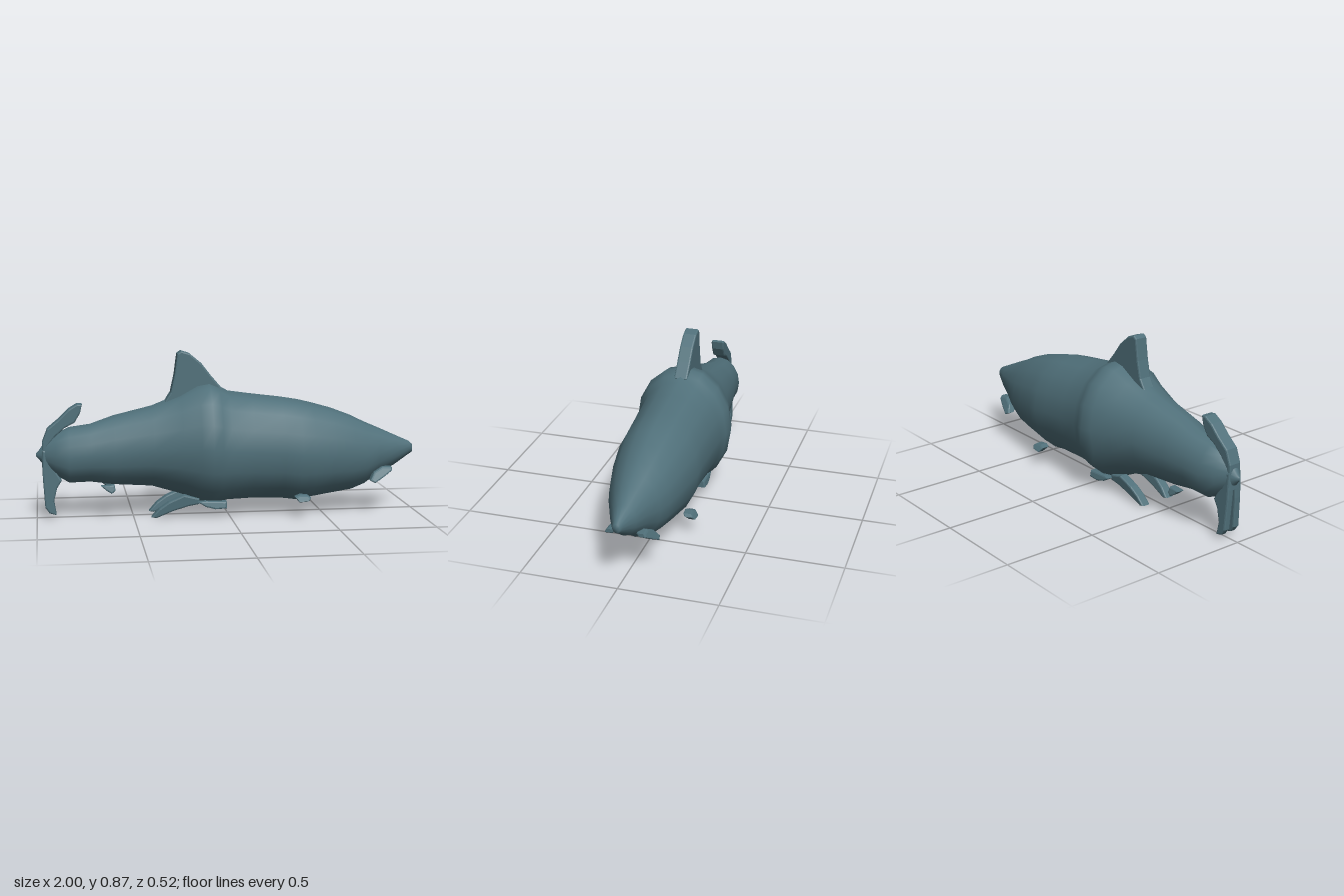
import * as THREE from 'three';

const slate = new THREE.MeshStandardMaterial({ color: 0x50707a });
slate.name = 'slateSkin';

// Body stations from tail to nose: x, top, bottom, half width
const STATIONS = [
  [-1.0, 0.34, 0.325, 0.004], [-0.985, 0.355, 0.31, 0.02], [-0.955, 0.4, 0.27, 0.04],
  [-0.9, 0.44, 0.225, 0.08], [-0.83, 0.475, 0.182, 0.115], [-0.72, 0.49, 0.185, 0.122],
  [-0.6, 0.532, 0.168, 0.142], [-0.4, 0.58, 0.155, 0.17], [-0.25, 0.64, 0.11, 0.212],
  [-0.16, 0.69, 0.066, 0.246], [-0.1, 0.7, 0.05, 0.26], [-0.05, 0.68, 0.055, 0.247],
  [0, 0.652, 0.07, 0.232], [0.12, 0.635, 0.075, 0.224], [0.28, 0.615, 0.072, 0.215],
  [0.37, 0.6, 0.06, 0.215], [0.44, 0.583, 0.072, 0.203], [0.55, 0.552, 0.09, 0.185],
  [0.66, 0.51, 0.107, 0.157], [0.73, 0.475, 0.135, 0.133], [0.8, 0.445, 0.185, 0.105],
  [0.9, 0.4, 0.235, 0.065], [0.985, 0.362, 0.293, 0.027], [1, 0.348, 0.302, 0.018], [1, 0.325, 0.325, 0],
];

// Smooth loft of 16-sided oval rings along x
function bodyGeometry() {
  const sides = 16, pos = [], idx = [];
  for (const [x, top, bottom, w] of STATIONS) {
    for (let i = 0; i < sides; i++) {
      const a = (i / sides) * Math.PI * 2;
      pos.push(x, (top + bottom) / 2 + Math.cos(a) * (top - bottom) / 2, Math.sin(a) * w);
    }
  }
  for (let r = 0; r < STATIONS.length - 1; r++) {
    for (let i = 0; i < sides; i++) {
      const j = (i + 1) % sides;
      const a = r * sides + i, b = r * sides + j, c = a + sides, d = b + sides;
      idx.push(a, b, c, b, d, c);
    }
  }
  const g = new THREE.BufferGeometry();
  g.setAttribute('position', new THREE.Float32BufferAttribute(pos, 3));
  g.setIndex(idx);
  g.computeVertexNormals();
  return g;
}

// Fin: side outline in x and y, thickened from z0 to z1, leaning outward below its top
function finGeometry(outline, z0, z1, lean = 0) {
  const bevel = Math.min(0.008, (z1 - z0) / 4);
  const shape = new THREE.Shape(outline.map(([x, y]) => new THREE.Vector2(x, y)));
  const g = new THREE.ExtrudeGeometry(shape, {
    depth: z1 - z0 - 2 * bevel, bevelEnabled: true, bevelThickness: bevel,
    bevelSize: bevel, bevelOffset: -bevel, bevelSegments: 2,
  });
  g.translate(0, 0, z0 + bevel);
  const top = Math.max(...outline.map((p) => p[1]));
  const p = g.attributes.position;
  for (let i = 0; i < p.count; i++) p.setZ(i, p.getZ(i) + lean * (top - p.getY(i)));
  g.computeVertexNormals();
  return g;
}

export function createModel() {
  const model = new THREE.Group();
  const add = (name, geometry) => {
    const mesh = new THREE.Mesh(geometry, slate);
    mesh.name = name;
    model.add(mesh);
  };
  // Matching fins on both flanks
  const addPair = (name, outline, z0, z1, lean) => {
    add(name + 'Front', finGeometry(outline, z0, z1, lean));
    add(name + 'Back', finGeometry(outline, -z1, -z0, -lean));
  };

  add('body', bodyGeometry());

  // Dorsal fin
  add('dorsalFin', finGeometry([
    [-0.35, 0.57], [-0.3, 0.65], [-0.28, 0.74], [-0.265, 0.85], [-0.245, 0.865], [-0.2, 0.85],
    [-0.14, 0.8], [-0.09, 0.735], [-0.03, 0.665], [-0.06, 0.6],
  ], -0.036, 0.036));

  // Tail: one upper lobe, and a lower lobe split into two prongs
  add('upperTailLobe', finGeometry([
    [-0.97, 0.27], [-0.967, 0.4], [-0.94, 0.47], [-0.88, 0.52], [-0.83, 0.57], [-0.785, 0.597],
    [-0.76, 0.595], [-0.77, 0.55], [-0.8, 0.5], [-0.85, 0.475], [-0.9, 0.43], [-0.94, 0.38], [-0.94, 0.27],
  ], -0.036, 0.036));
  addPair('lowerTailProng', [
    [-0.968, 0.36], [-0.967, 0.22], [-0.957, 0.06], [-0.935, 0.03], [-0.9, 0.02],
    [-0.912, 0.09], [-0.895, 0.16], [-0.87, 0.2], [-0.93, 0.3], [-0.94, 0.36],
  ], 0.002, 0.04, 0.03);

  // Long trailing belly fins
  addPair('bellyFin', [
    [-0.16, 0.1], [-0.24, 0.12], [-0.32, 0.085], [-0.37, 0.05], [-0.41, 0.005],
    [-0.385, 0], [-0.3, 0.035], [-0.22, 0.06], [-0.16, 0.07],
  ], 0.065, 0.115, -0.1);

  // Small fins along the underside
  addPair('midFin', [
    [-0.02, 0.085], [-0.13, 0.09], [-0.17, 0.085], [-0.13, 0.06], [-0.08, 0.047], [-0.02, 0.05],
  ], 0.085, 0.135, 0.25);
  addPair('pectoralFin', [
    [0.33, 0.11], [0.36, 0.12], [0.4, 0.117], [0.415, 0.105], [0.4, 0.088], [0.35, 0.085],
  ], 0.14, 0.185, 0.9);
  addPair('rearFin', [
    [-0.67, 0.175], [-0.6, 0.18], [-0.595, 0.15], [-0.615, 0.135], [-0.64, 0.15],
  ], 0.05, 0.09, 0.3);
  addPair('chinFin', [
    [0.87, 0.24], [0.82, 0.242], [0.77, 0.215], [0.745, 0.175], [0.77, 0.162], [0.82, 0.19], [0.87, 0.222],
  ], 0.05, 0.095, 0.6);

  return model;
}
